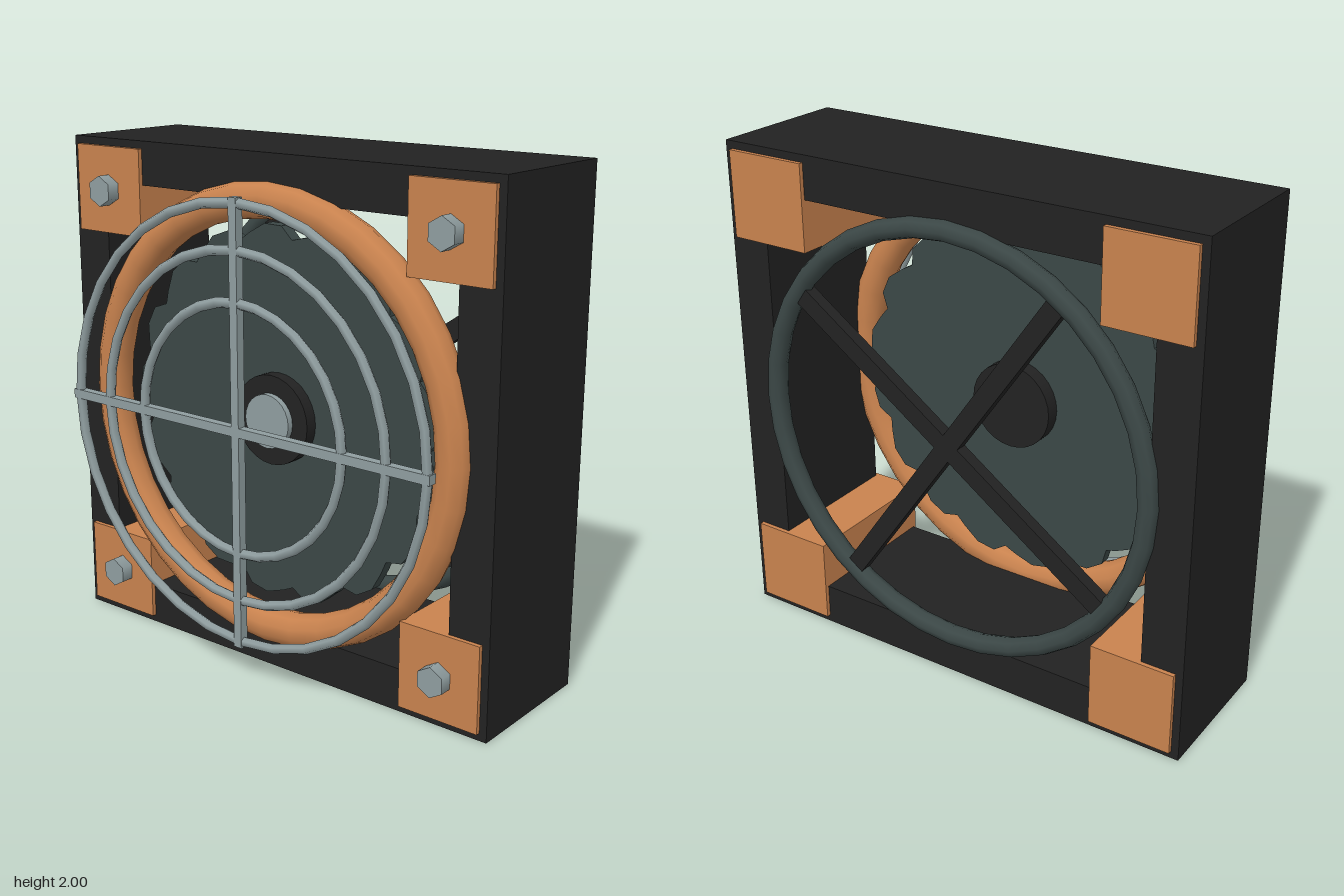
import * as THREE from 'three';

const mat = (name, color, flat = false) => {
  const m = new THREE.MeshStandardMaterial({ color, flatShading: flat });
  m.name = name;
  return m;
};

export function createModel() {
  const black = mat('black', 0x222222);
  const copper = mat('copper', 0xc8824e);
  const steel = mat('steel', 0x8f9d9f);
  const slate = mat('slate', 0x3b4746);

  const model = new THREE.Group();
  model.name = 'boxFan';
  const fan = new THREE.Group(); // everything centred on the fan axis
  fan.name = 'fan';
  fan.position.y = 1;
  model.add(fan);

  const add = (name, geo, material, x = 0, y = 0, z = 0) => {
    const mesh = new THREE.Mesh(geo, material);
    mesh.name = name;
    mesh.position.set(x, y, z);
    fan.add(mesh);
    return mesh;
  };
  const box = (name, w, h, d, material, x, y, z) =>
    add(name, new THREE.BoxGeometry(w, h, d), material, x, y, z);
  const disc = (name, r, z0, z1, sides, material, x = 0, y = 0) =>
    add(name, new THREE.CylinderGeometry(r, r, z1 - z0, sides).rotateX(Math.PI / 2),
      material, x, y, (z0 + z1) / 2);
  const ring = (name, r, tube, z, material, radial = 8, around = 32) =>
    add(name, new THREE.TorusGeometry(r, tube, radial, around), material, 0, 0, z);

  // Square housing made of four bars
  const zMid = -0.078, depth = 0.585;
  for (const s of [-1, 1]) {
    box('housingRail', 2, 0.17, depth, black, 0, s * 0.915, zMid);
    box('housingPost', 0.17, 1.66, depth, black, s * 0.915, 0, zMid);
  }

  // Corner blocks running right through, with hex bolts in front
  for (const sx of [-1, 1]) for (const sy of [-1, 1]) {
    box('cornerBlock', 0.34, 0.34, 0.62, copper, sx * 0.8, sy * 0.8, zMid);
    disc('bolt', 0.06, 0.2, 0.285, 6, steel, sx * 0.8, sy * 0.8);
  }

  // Front and rear rims
  ring('frontRim', 0.83, 0.07, 0.205, copper, 10, 36);
  ring('rearRim', 0.83, 0.04, -0.37, slate, 8, 36);

  // Rear cross brace
  for (const turn of [0, Math.PI / 2]) {
    box('rearBrace', 1.6, 0.075, 0.05, black, 0, 0, -0.37).rotation.z = 0.61 + turn;
  }

  // Bladed rotor with a scalloped edge
  const outline = [];
  const blades = 17;
  for (let i = 0; i < blades; i++) {
    for (const [t, r] of [[0, 0.685], [0.2, 0.73], [0.5, 0.735], [0.8, 0.705]]) {
      const a = ((i + t) / blades) * Math.PI * 2;
      outline.push(new THREE.Vector2(Math.cos(a) * r, Math.sin(a) * r));
    }
  }
  add('rotor', new THREE.ExtrudeGeometry(new THREE.Shape(outline),
    { depth: 0.05, bevelEnabled: false }), slate, 0, 0, 0.1);
  disc('hub', 0.175, 0.04, 0.2, 28, black);
  disc('hubCap', 0.105, 0.15, 0.225, 24, steel);

  // Front grille
  for (const r of [0.84, 0.67, 0.48]) ring('grilleRing', r, 0.02, 0.387, steel, 6, 32);
  box('grilleBarAcross', 1.72, 0.036, 0.036, steel, 0, 0, 0.387);
  box('grilleBarUp', 0.036, 1.72, 0.036, steel, 0, 0, 0.387);

  return model;
}
